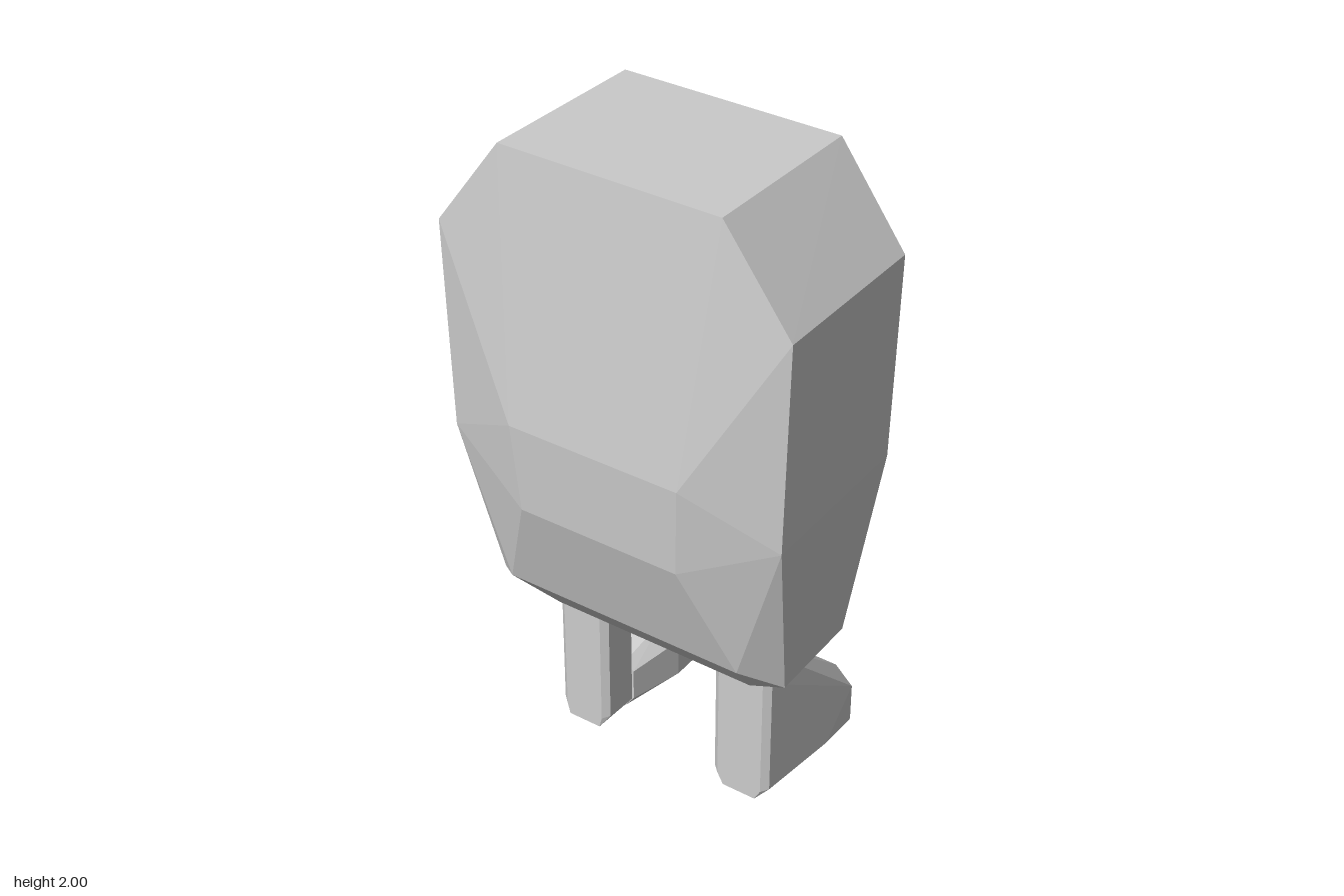
import * as THREE from 'three';
import { ConvexGeometry } from 'three/addons/geometries/ConvexGeometry.js';

const material = new THREE.MeshStandardMaterial({ color: 0xcccccc, flatShading: true });

// Faceted solid from [halfWidth, y, z] points mirrored about x = cx
function solid(name, cx, points) {
  const corners = points.flatMap(([w, y, z]) => [
    new THREE.Vector3(cx + w, y, z),
    new THREE.Vector3(cx - w, y, z),
  ]);
  const mesh = new THREE.Mesh(new ConvexGeometry(corners), material);
  mesh.name = name;
  return mesh;
}

// Octagonal foot outline at a given depth
const footRing = (z) => [[0.055, 0.003, z], [0.112, 0.047, z], [0.112, 0.172, z], [0.055, 0.226, z]];

// Chamfered front, top and toe-side edges of a shin; w is its half width
const shinFront = (w) => [
  [w - 0.02, 0.455, 0.06], [w, 0.455, 0.043],
  [w - 0.02, 0.06, 0.06], [w, 0.068, 0.043], [0.053, 0.025, 0.06],
  [w, 0.455, -0.065], [w - 0.03, 0.455, -0.1],
];

export function createModel() {
  const model = new THREE.Group();
  model.name = 'model';

  // Body: bevelled block with a bulging front and tapered base
  model.add(solid('body', 0, [
    [0.327, 2.0, 0.28], [0.325, 1.985, -0.25],     // top
    [0.527, 1.728, 0.28], [0.52, 1.715, -0.25],    // shoulders
    [0.26, 1.25, 0.368], [0.245, 0.98, 0.35],      // front bulge
    [0.513, 1.11, 0.277], [0.508, 1.11, -0.245],   // waist
    [0.37, 0.645, 0.25],                           // lower front
    [0.465, 0.578, 0.16], [0.463, 0.582, -0.135],  // lower sides
    [0.395, 0.582, -0.212],                        // lower back
    [0.32, 0.478, 0.105], [0.32, 0.492, -0.095],   // underside
  ]));

  // Left leg: one wedge sloping from shin down to foot
  const leftLeg = new THREE.Group();
  leftLeg.name = 'leftLeg';
  leftLeg.add(solid('leftWedge', 0.263, [
    ...shinFront(0.092), ...footRing(-0.366),
    [0.055, 0.004, -0.25], [0.11, 0.047, -0.235],
  ]));
  model.add(leftLeg);

  // Right leg: upright shin with a separate protruding foot
  const rightLeg = new THREE.Group();
  rightLeg.name = 'rightLeg';
  rightLeg.add(solid('rightShin', -0.278, [
    ...shinFront(0.082), [0.082, 0.058, -0.065], [0.052, 0.017, -0.1],
  ]));
  rightLeg.add(solid('rightFoot', -0.268, [
    ...footRing(-0.366), ...footRing(-0.25),
    [0.045, 0.017, -0.07], [0.075, 0.058, -0.07],
    [0.075, 0.16, -0.07], [0.045, 0.185, -0.07],
  ]));
  model.add(rightLeg);

  return model;
}
